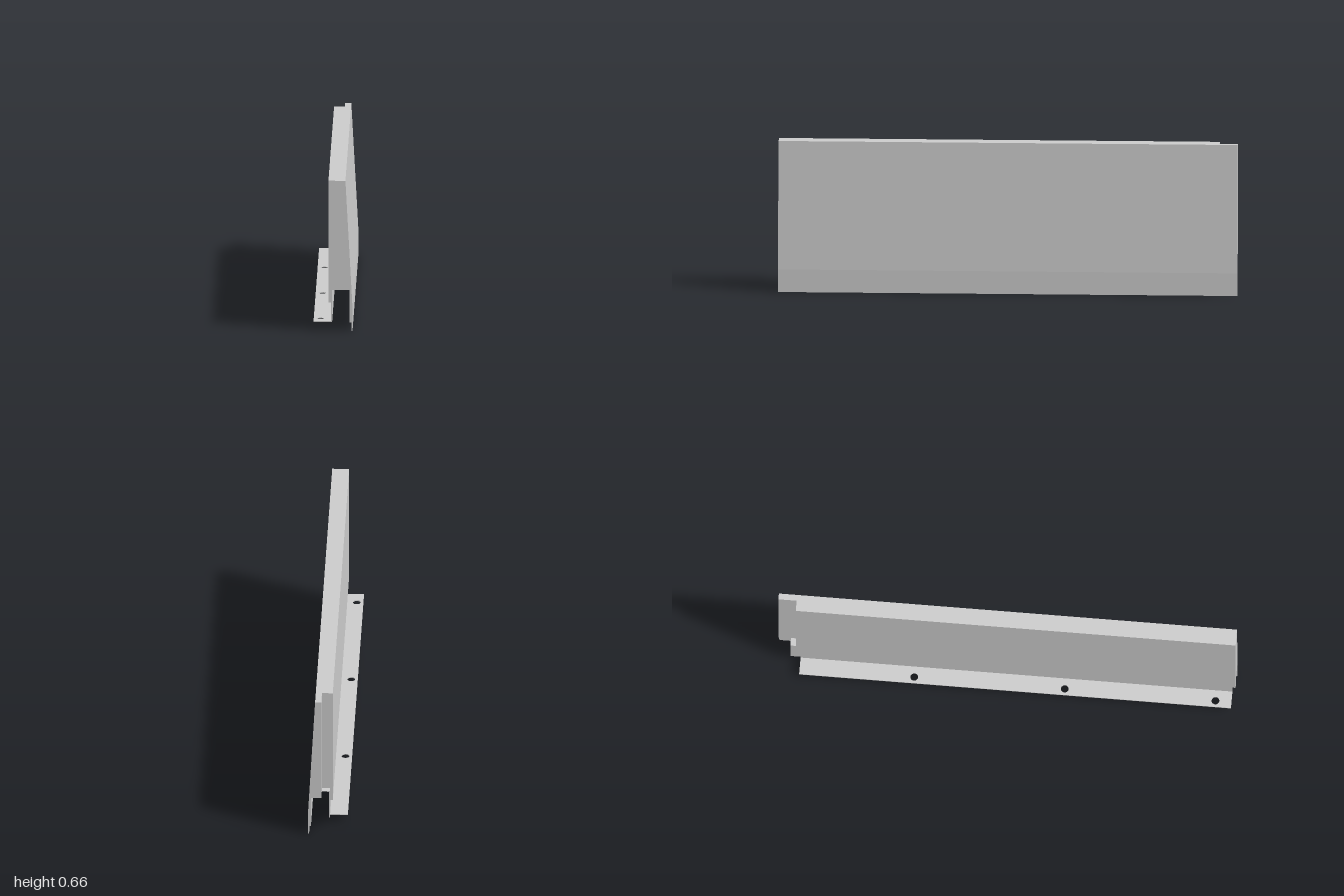
import * as THREE from 'three';

const material = new THREE.MeshStandardMaterial({ color: 0xcccccc, flatShading: true });

function shapeFrom(points) {
  return new THREE.Shape(points.map(([x, y]) => new THREE.Vector2(x, y)));
}

function extrude(shape, depth) {
  return new THREE.ExtrudeGeometry(shape, { depth, bevelEnabled: false, curveSegments: 16 });
}

export function createModel() {
  const group = new THREE.Group();
  const add = (name, geometry) => {
    const mesh = new THREE.Mesh(geometry, material);
    mesh.name = name;
    group.add(mesh);
  };

  // Inner half of the panel, shorter at the back to leave a rebate
  const inner = shapeFrom([
    [-0.021, 0.124], [-0.009, 0.124], [-0.009, 0.179], [0.026, 0.179],
    [0.026, 0.662], [-0.021, 0.662],
  ]);
  add('innerPanel', extrude(inner, 1.92).translate(0, 0, -0.92));

  // Outer half with the sloped face and the drip edge, full length
  const outer = shapeFrom([
    [0.026, 0.179], [0.071, 0.179], [0.071, 0.036], [0.079, 0.036], [0.079, 0],
    [0.084, 0], [0.084, 0.1], [0.053, 0.662], [0.026, 0.662],
  ]);
  add('outerPanel', extrude(outer, 2).translate(0, 0, -1));

  // Upright of the sheet bracket, drawn in (z, y), with a relief notch at the back
  const upright = shapeFrom([
    [-0.9, 0.038], [0.985, 0.038], [0.985, 0.183], [-0.945, 0.183],
    [-0.945, 0.05], [-0.9, 0.05],
  ]);
  add('bracketUpright', extrude(upright, 0.004).rotateY(-Math.PI / 2).translate(-0.005, 0, 0));

  // Top of the bracket showing in the rebate
  add('bracketTop', new THREE.BoxGeometry(0.031, 0.004, 0.025).translate(0.0105, 0.181, -0.9325));

  // Mounting flange, drawn in (x, z), with three screw holes
  const flange = shapeFrom([[-0.086, -0.9], [-0.005, -0.9], [-0.005, 0.985], [-0.086, 0.985]]);
  for (const z of [-0.4, 0.257, 0.915]) {
    flange.holes.push(new THREE.Path().absarc(-0.057, z, 0.017, 0, Math.PI * 2, true));
  }
  add('mountingFlange', extrude(flange, 0.004).rotateX(Math.PI / 2).translate(0, 0.04, 0));

  return group;
}
